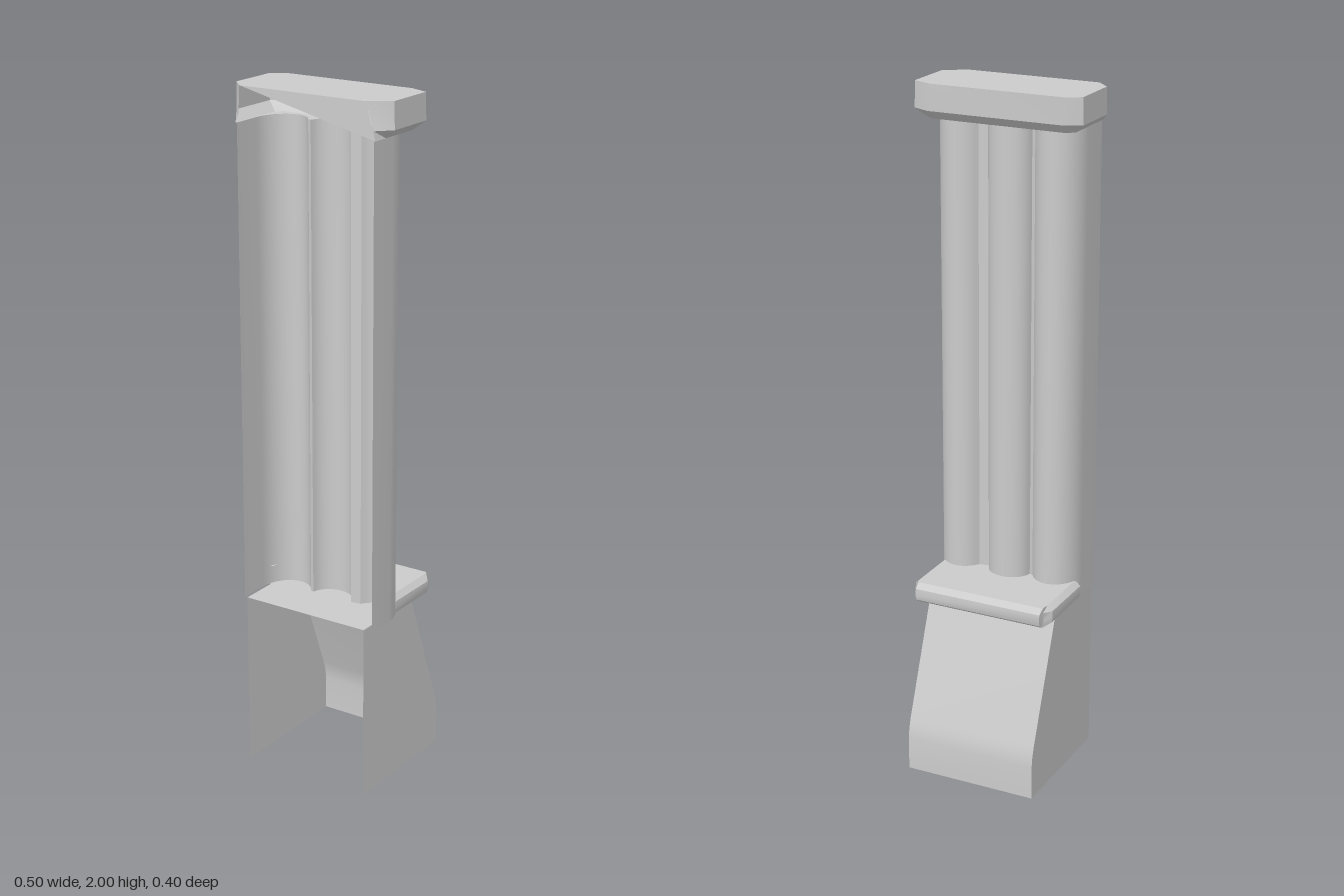
import * as THREE from 'three';
import { toCreasedNormals } from 'three/addons/utils/BufferGeometryUtils.js';

const material = new THREE.MeshStandardMaterial({ color: 0xcccccc, side: THREE.DoubleSide });

// Open surface through rows of [x, y, z] points
function sheet(rows) {
  const n = rows[0].length, index = [];
  for (let r = 0; r < rows.length - 1; r++) {
    for (let i = 0; i < n - 1; i++) {
      const a = r * n + i, b = a + 1, c = a + n, d = c + 1;
      index.push(a, b, d, a, d, c);
    }
  }
  const g = new THREE.BufferGeometry();
  g.setAttribute('position', new THREE.Float32BufferAttribute(rows.flat(2), 3));
  g.setIndex(index);
  return toCreasedNormals(g.toNonIndexed(), 0.6);
}

// Horizontal polygon from [x, z] points, facing up
function plate(points, y) {
  const shape = new THREE.Shape(points.map(([x, z]) => new THREE.Vector2(x, -z)));
  return new THREE.ShapeGeometry(shape).rotateX(-Math.PI / 2).translate(0, y, 0);
}

const atHeight = (points, y) => points.map(([x, z]) => [x, y, z]);

// Half an outline given from +x to the middle, completed by mirroring about x = c
const mirrored = (half, c = 0) => [...half, ...half.map(([x, z]) => [2 * c - x, z]).reverse()];

// Plan of the three-lobed column, from +x front to -x front
function columnPlan() {
  const arc = (cx, cz, rx, rz, from, to, steps) => Array.from({ length: steps + 1 }, (_, i) => {
    const t = from + (to - from) * i / steps;
    return [cx + rx * Math.cos(t), cz - rz * Math.sin(t)];
  });
  const side = (s) => arc(s * 0.145, 0.11, s * 0.073, 0.09, 0, Math.PI * 0.8, 14);
  const centre = arc(-0.01, 0.07, 0.066, 0.06, 0.15, Math.PI - 0.15, 14);
  return [[0.218, 0.2], ...side(1), ...centre, ...side(-1).reverse(), [-0.218, 0.2]];
}

export function createModel() {
  const model = new THREE.Group();
  const add = (name, geometry) => {
    const mesh = new THREE.Mesh(geometry, material);
    mesh.name = name;
    model.add(mesh);
  };
  const plan = columnPlan();
  const left = 0.19, right = -0.21, middle = -0.01;

  // Base: two side panels and a sloping back
  const slope = [[-0.2, 0], [-0.2, 0.1], [-0.196, 0.13], [-0.187, 0.16], [-0.05, 0.517]];
  add('baseBack', sheet([left, right].map((x) => slope.map(([z, y]) => [x, y, z]))));
  const panel = new THREE.Shape([[0.2, 0], ...slope, [0.2, 0.517]].map(([z, y]) => new THREE.Vector2(-z, y)));
  for (const [name, x] of [['baseLeftPanel', left], ['baseRightPanel', right]]) {
    add(name, new THREE.ShapeGeometry(panel).rotateY(Math.PI / 2).translate(x, 0, 0));
  }
  add('columnFloor', plate([[left, 0.2], [left, -0.05], [right, -0.05], [right, 0.2]], 0.52));

  // Shelf: bevelled rim wrapping around the back of the column
  const rim = (inset, y) => atHeight(mirrored([
    [0.21 - inset, 0.08], [0.21 - inset, -0.11], [0.19, -0.13], [0.187, -0.152 + inset],
  ], middle), y);
  const rims = [rim(0.018, 0.515), rim(0.004, 0.525), rim(0, 0.54), rim(0.002, 0.56), rim(0.018, 0.575)];
  add('shelfRim', sheet(rims));
  const inner = plan.filter(([, z]) => z < 0.08)
    .map(([x, z]) => [THREE.MathUtils.clamp(x, -0.206, 0.186), z]);
  const shelfFace = (row) => [...row.map(([x, , z]) => [x, z]), ...inner.slice().reverse()];
  add('shelfTop', plate(shelfFace(rims[4]), 0.575));
  add('shelfUnderside', plate(rims[0].map(([x, , z]) => [x, z]), 0.515));

  // Column
  add('column', sheet([atHeight(plan, 0.52), atHeight(plan, 1.9)]));

  // Cap: bevelled underneath, with a corner of its front left open
  const topEdge = [[0.19, 0.197], [0.25, 0.155], [0.25, 0.002], [0.192, -0.022]];
  const topPlan = mirrored(topEdge);
  topPlan[4][0] = topPlan[7][0] = right;
  const midPlan = mirrored([[0.214, 0.197], [0.252, 0.155], [0.252, 0.002], [0.2, -0.022]]);
  const lowPlan = mirrored([[0.222, 0.2], [0.222, 0.15], [0.222, 0.02], [0.2, 0.002]]);
  add('capSides', sheet([atHeight(topPlan, 2), atHeight(midPlan, 1.925), atHeight(lowPlan, 1.9)]));
  add('capTop', plate(topPlan, 2));
  add('capUnderside', plate([...lowPlan, ...plan.slice().reverse()], 1.9));
  const front = new THREE.BufferGeometry().setFromPoints([
    new THREE.Vector3(right, 2, 0.197), new THREE.Vector3(0.222, 1.9, 0.2), new THREE.Vector3(left, 2, 0.197),
  ]);
  front.computeVertexNormals();
  add('capFront', front);

  return model;
}
